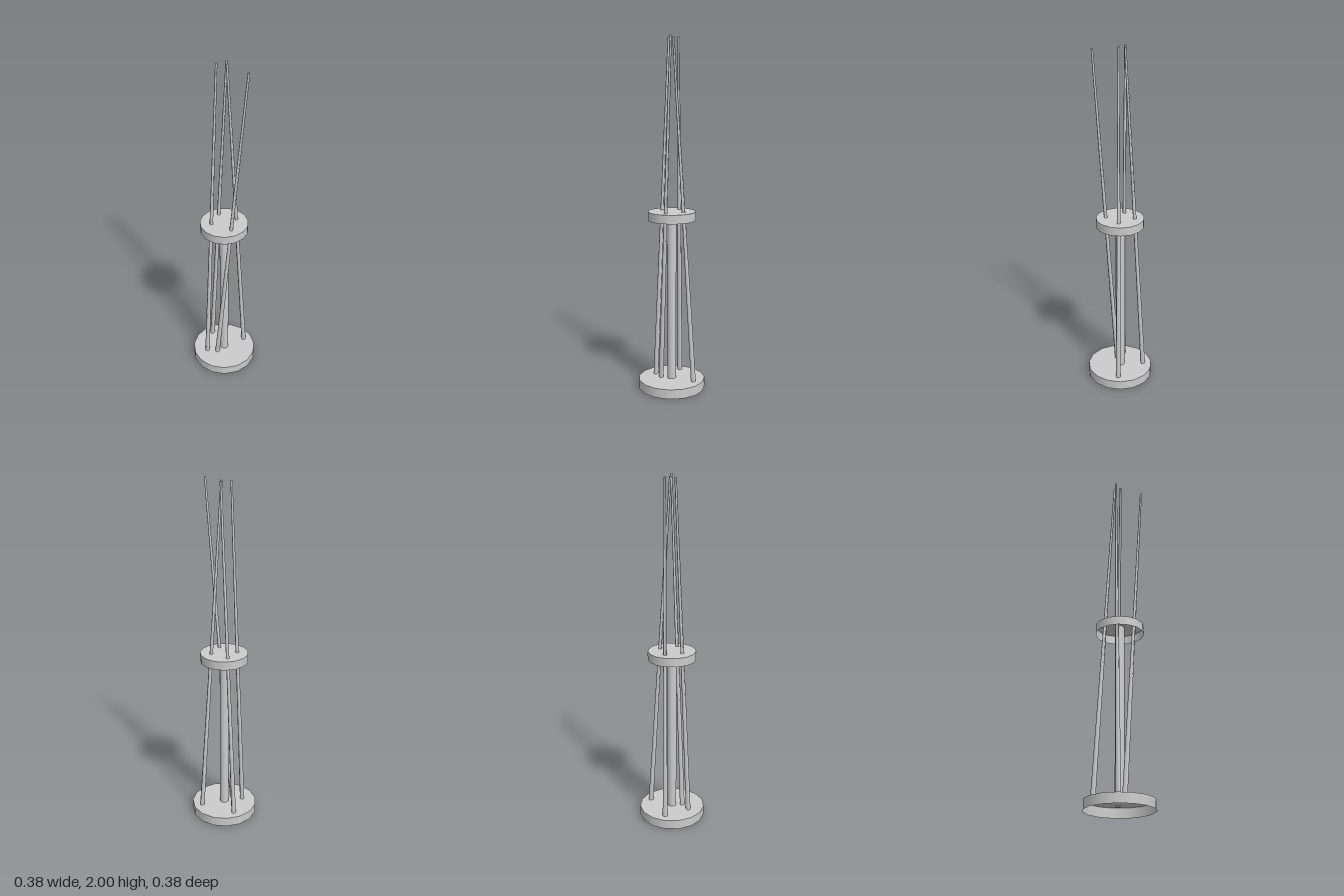
import * as THREE from 'three';

const SIDES = 15;
const grey = new THREE.MeshStandardMaterial({ color: 0xcccccc });
const greyThin = new THREE.MeshStandardMaterial({ color: 0xcccccc, side: THREE.DoubleSide });

// Shallow upturned dish: flat top and side wall, open underneath
function makeDish(name, radius, bottom, top) {
  const dish = new THREE.Group();
  dish.name = name;
  const wall = new THREE.Mesh(
    new THREE.CylinderGeometry(radius, radius, top - bottom, SIDES, 1, true, -Math.PI / 2), greyThin);
  wall.name = name + 'Wall';
  wall.position.y = (top + bottom) / 2;
  const cap = new THREE.Mesh(new THREE.CircleGeometry(radius, SIDES, Math.PI), greyThin);
  cap.name = name + 'Top';
  cap.rotation.x = -Math.PI / 2;
  cap.position.y = top;
  dish.add(wall, cap);
  return dish;
}

// Tapered round bar running between two points
function makeBar(name, from, to, r0, r1, sides) {
  const a = new THREE.Vector3(...from);
  const b = new THREE.Vector3(...to);
  const dir = b.clone().sub(a);
  const bar = new THREE.Mesh(new THREE.CylinderGeometry(r1, r0, dir.length(), sides), grey);
  bar.name = name;
  bar.position.copy(a).add(b).multiplyScalar(0.5);
  bar.quaternion.setFromUnitVectors(new THREE.Vector3(0, 1, 0), dir.normalize());
  return bar;
}

export function createModel() {
  const model = new THREE.Group();
  model.name = 'rodStand';

  model.add(makeDish('base', 0.192, 0, 0.055));
  model.add(makeDish('collar', 0.137, 0.99, 1.04));
  model.add(makeBar('column', [0, 0.05, 0], [0, 1.035, 0], 0.026, 0.026, SIDES));

  // Leaning rods: foot x, z on the base and tip x, z
  const rods = [
    ['rightRod', -0.112, 0, -0.034, -0.021],
    ['backRod', -0.032, -0.136, 0.024, -0.032],
    ['leftRod', 0.139, -0.017, 0.013, 0.004],
    ['frontRod', -0.055, 0.029, 0.079, 0.129],
  ];
  for (const [name, x0, z0, x1, z1] of rods) {
    model.add(makeBar(name, [x0, 0.05, z0], [x1, 1.999, z1], 0.014, 0.006, 6));
  }
  return model;
}
